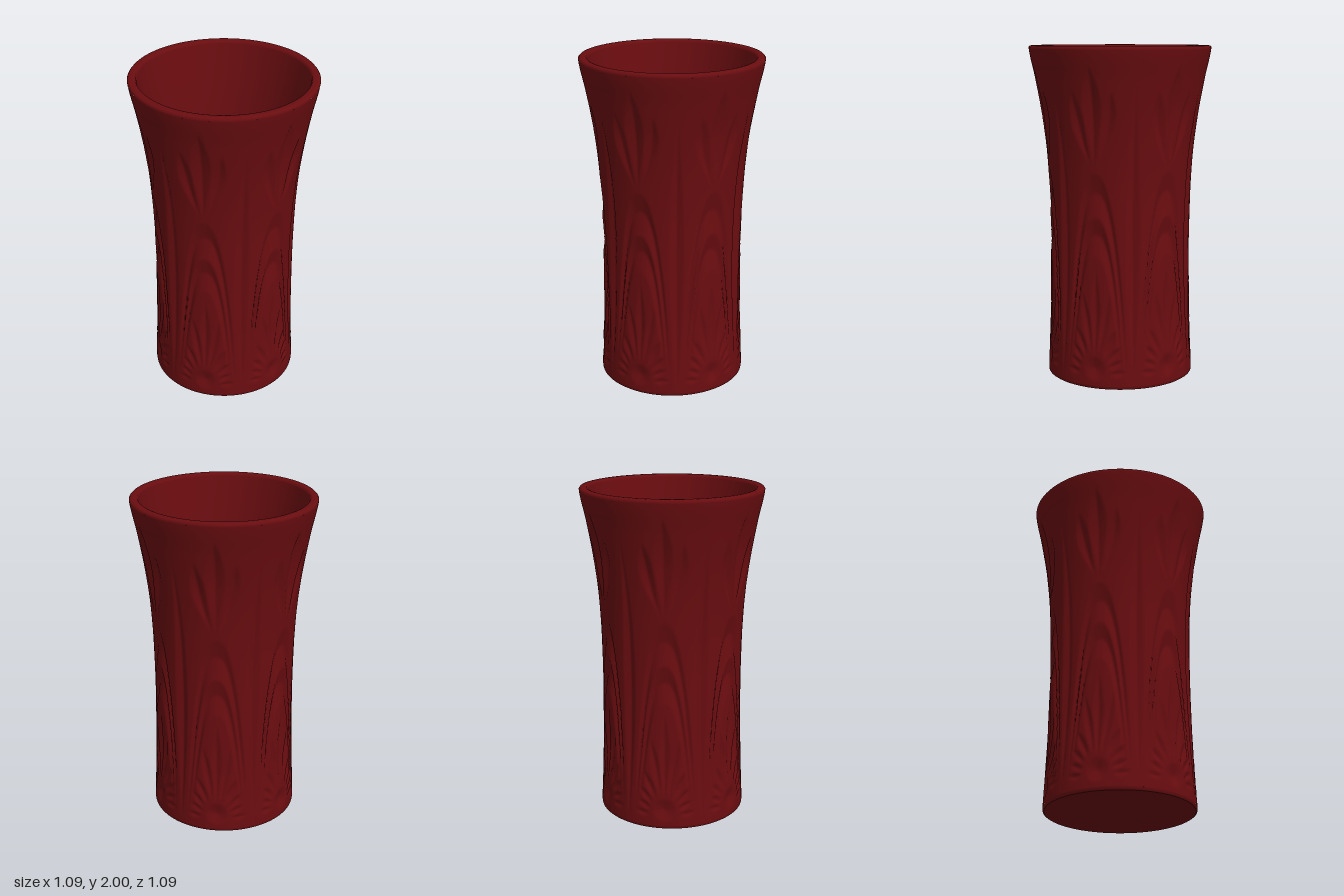
import * as THREE from 'three';

const glass = new THREE.MeshStandardMaterial({ color: 0x6a0d10 });
const SECTOR = Math.PI / 3; // the cut pattern repeats six times
const COLS = 360, ROWS = 190, Y0 = 0.02, Y1 = 1.98;

// Smooth outer silhouette: x is height, y is radius
const outline = new THREE.SplineCurve([
  [0, 0.445], [0.2, 0.437], [0.4, 0.43], [0.6, 0.426], [0.8, 0.424], [1, 0.426],
  [1.2, 0.432], [1.4, 0.446], [1.6, 0.472], [1.8, 0.507], [2, 0.547],
].map(([y, r]) => new THREE.Vector2(y, r)));
const radiusAt = (y) => outline.getPoint(y / 2).y;

// Depth of a pointed V-cut from (x0, y0) to (x1, y1); power moves the widest point, bend bows it
function leafCut(x, y, { x0 = 0, y0, x1 = 0, y1, half, power = 1, bend = 0, slope = 0.45 }) {
  const dx = x1 - x0, dy = y1 - y0, len = Math.hypot(dx, dy);
  const t = ((x - x0) * dx + (y - y0) * dy) / (len * len);
  if (t <= 0 || t >= 1) return 0;
  const side = ((x - x0) * dy - (y - y0) * dx) / len - bend * 4 * t * (1 - t);
  const width = half * Math.sin(Math.PI * t ** power);
  return Math.max(0, slope * (width - Math.abs(side)));
}

// Leaves of the lower fan: angle from vertical, inner and outer reach, half width
const fan = [
  [0, 0.11, 0.64, 0.034], [10, 0.13, 0.51, 0.03], [25, 0.12, 0.32, 0.026],
  [42, 0.11, 0.25, 0.024], [61, 0.09, 0.2, 0.022], [83, 0.09, 0.19, 0.02],
].map(([deg, a, b, half]) => {
  const s = Math.sin(deg * Math.PI / 180), c = Math.cos(deg * Math.PI / 180);
  return { x0: s * a, y0: 0.08 + c * a, x1: s * b, y1: 0.08 + c * b, half };
});

// Three-leaf sprig above the arches (half of it; the pattern is mirrored)
const sprig = [
  { y0: 1.28, y1: 1.89, half: 0.058, power: 1.5, slope: 0.4 },
  { y0: 1.28, x1: 0.12, y1: 1.75, half: 0.042, power: 1.6, bend: 0.022 },
];

// Long blade standing between two motifs
const blade = { y0: 0.03, y1: 1.77, half: 0.042, slope: 0.5 };

// Nested arches: peak height and half width at the foot
const arches = [[1.28, 0.2], [1.02, 0.178], [0.79, 0.155]];
const archField = (x, y, [peak, foot]) => y + peak * (x / foot) ** 2.5 - peak;

// Scooped band between each arch and the next one inside it
function archCut(x, y) {
  for (let i = 0; i < 2; i++) {
    const outer = archField(x, y, arches[i]), inner = archField(x, y, arches[i + 1]);
    if (outer < 0 && inner > 0) {
      const t = -outer / (inner - outer);
      return 0.018 * THREE.MathUtils.smoothstep(y, 0.03, 0.7) * Math.min(t / 0.45, (1 - t) / 0.55);
    }
  }
  return 0;
}

function cutDepth(angle, y, r) {
  const a = Math.abs(angle - SECTOR * Math.round(angle / SECTOR));
  const x = a * r;
  let depth = Math.max(archCut(x, y), leafCut(SECTOR / 2 * r - x, y, blade));
  for (const leaf of [...sprig, ...fan]) depth = Math.max(depth, leafCut(x, y, leaf));
  // Round thumbprint at the heart of the fan
  const heart = 1 - Math.hypot(x, (y - 0.12) * 0.9) / 0.065;
  return Math.max(depth, 0.018 * heart);
}

// Outer wall as a closed grid pressed in by the cut pattern
function cutWall() {
  const positions = [], index = [];
  for (let j = 0; j <= ROWS; j++) {
    const y = Y0 + (Y1 - Y0) * j / ROWS, base = radiusAt(y);
    for (let i = 0; i < COLS; i++) {
      const angle = i / COLS * Math.PI * 2;
      const r = base - cutDepth(angle, y, base);
      positions.push(r * Math.sin(angle), y, r * Math.cos(angle));
      if (j === ROWS) continue;
      const a = j * COLS + i, b = j * COLS + (i + 1) % COLS;
      index.push(a, b, b + COLS, a, b + COLS, a + COLS);
    }
  }
  const geometry = new THREE.BufferGeometry();
  geometry.setAttribute('position', new THREE.Float32BufferAttribute(positions, 3));
  geometry.setIndex(index);
  geometry.computeVertexNormals();
  return geometry;
}

const turned = (points) =>
  new THREE.LatheGeometry(points.map(([r, y]) => new THREE.Vector2(r, y)), 120);

export function createModel() {
  const group = new THREE.Group();
  group.name = 'cutGlassVase';
  const add = (name, geometry) => {
    const mesh = new THREE.Mesh(geometry, glass);
    mesh.name = name;
    group.add(mesh);
  };
  add('carvedOuterWall', cutWall());
  // Foot edge and flat underside
  add('underside', turned([[0, 0], [0.436, 0]]));
  add('footEdge', turned([[0.436, 0], [0.443, 0.005], [radiusAt(Y0), Y0]]));
  // Softly rounded lip
  add('rim', turned([[radiusAt(Y1), Y1], [0.545, 1.99], [0.538, 1.998], [0.528, 2],
    [0.508, 2], [0.498, 1.997], [0.493, 1.985]]));
  // Hollow inside
  add('innerWall', turned([[0.493, 1.985], [0.457, 1.8], [0.424, 1.6], [0.4, 1.4], [0.385, 1.2],
    [0.377, 1], [0.372, 0.7], [0.369, 0.4], [0.367, 0.14]]));
  add('innerFloor', turned([[0.367, 0.14], [0.355, 0.125], [0.335, 0.12], [0, 0.12]]));
  return group;
}
